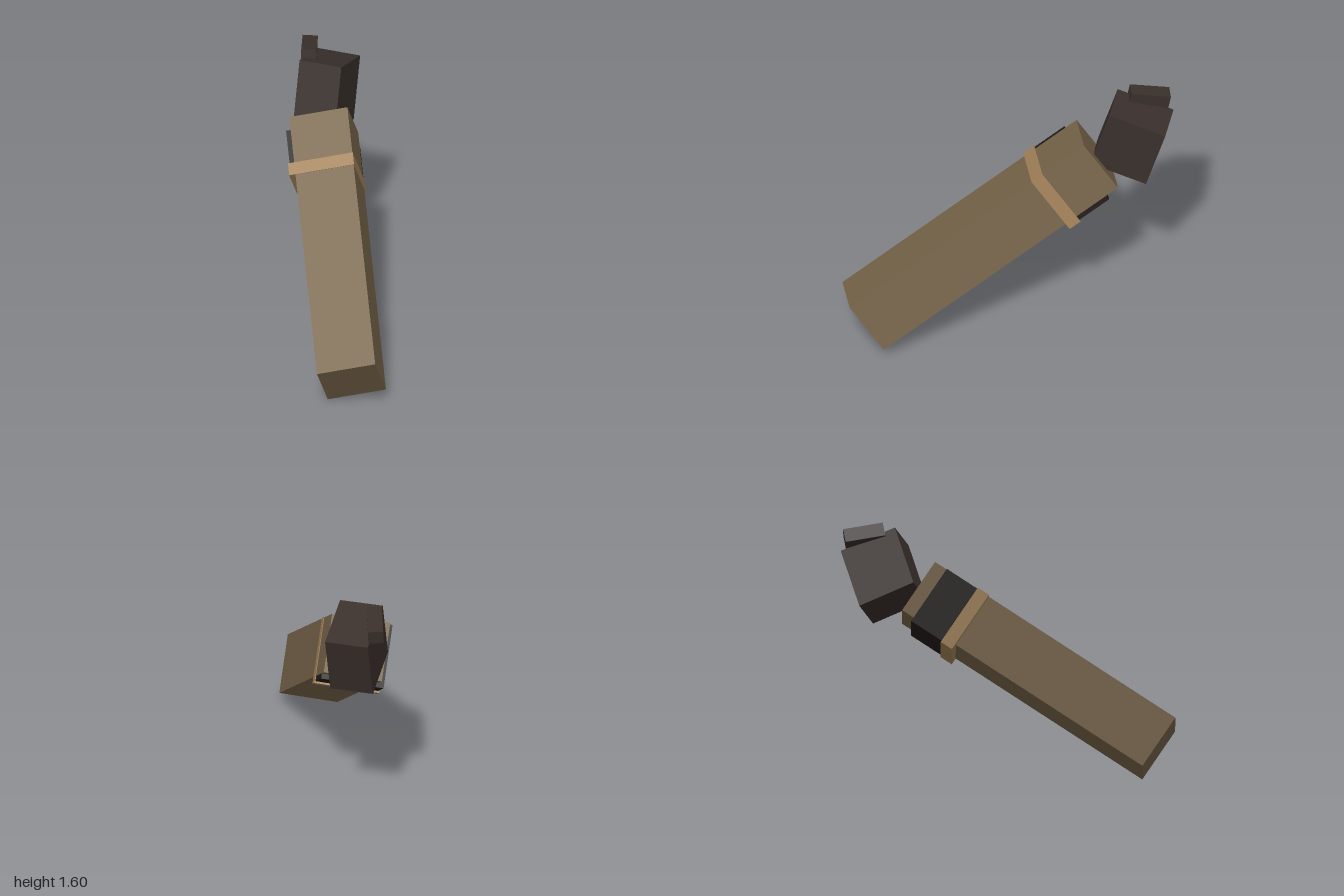
import * as THREE from 'three';

const mat = (color) => new THREE.MeshStandardMaterial({ color, flatShading: true });

// box given by its lower and upper corners in the local frame
function block(name, min, max, material) {
  const size = max.map((v, i) => v - min[i]);
  const mesh = new THREE.Mesh(new THREE.BoxGeometry(...size), material);
  mesh.position.set(...max.map((v, i) => (v + min[i]) / 2));
  mesh.name = name;
  return mesh;
}

// group oriented by its local x and z directions
function frame(name, origin, xDir, zDir) {
  const z = new THREE.Vector3(...zDir).normalize();
  const y = z.clone().cross(new THREE.Vector3(...xDir)).normalize();
  const x = y.clone().cross(z);
  const group = new THREE.Group();
  group.name = name;
  group.quaternion.setFromRotationMatrix(new THREE.Matrix4().makeBasis(x, y, z));
  group.position.set(...origin);
  return group;
}

export function createModel() {
  const model = new THREE.Group();
  const brown = mat(0x78654a), tan = mat(0xa28258);
  const dark = mat(0x3a302c), black = mat(0x211b19);

  // long arm, tilted downwards to the front
  const arm = frame('arm', [0.05, 0.693, 0.145], [0.35, 0.08, -0.12], [0.67, -0.99, 1.38]);
  const h = 0.188, l = 0.913;
  arm.add(block('sleeve', [-h, -h, -l], [h, h, l], brown));
  // band and collar stand out on the right and underneath only
  arm.add(block('band', [-h - 0.04, -h - 0.045, -0.59], [h + 0.003, h + 0.003, -0.505], tan));
  arm.add(block('collar', [-h - 0.03, -h - 0.033, -0.822], [h - 0.002, h - 0.002, -0.59], black));
  model.add(arm);

  // block at the upper end, leaning back
  const hand = block('hand', [-0.48, 1.105, -0.946], [-0.2, 1.525, -0.569], dark);
  hand.rotation.x = -0.3;
  model.add(hand);

  // small bar lying over the top right edge of the hand
  const thumb = frame('thumb', [-0.495, 1.61, -0.715], [0.09, -0.005, -0.035], [0.075, 0.045, 0.24]);
  thumb.add(block('thumbBar', [0, -0.092, -0.255], [0.097, 0, 0], dark));
  model.add(thumb);

  return model;
}
